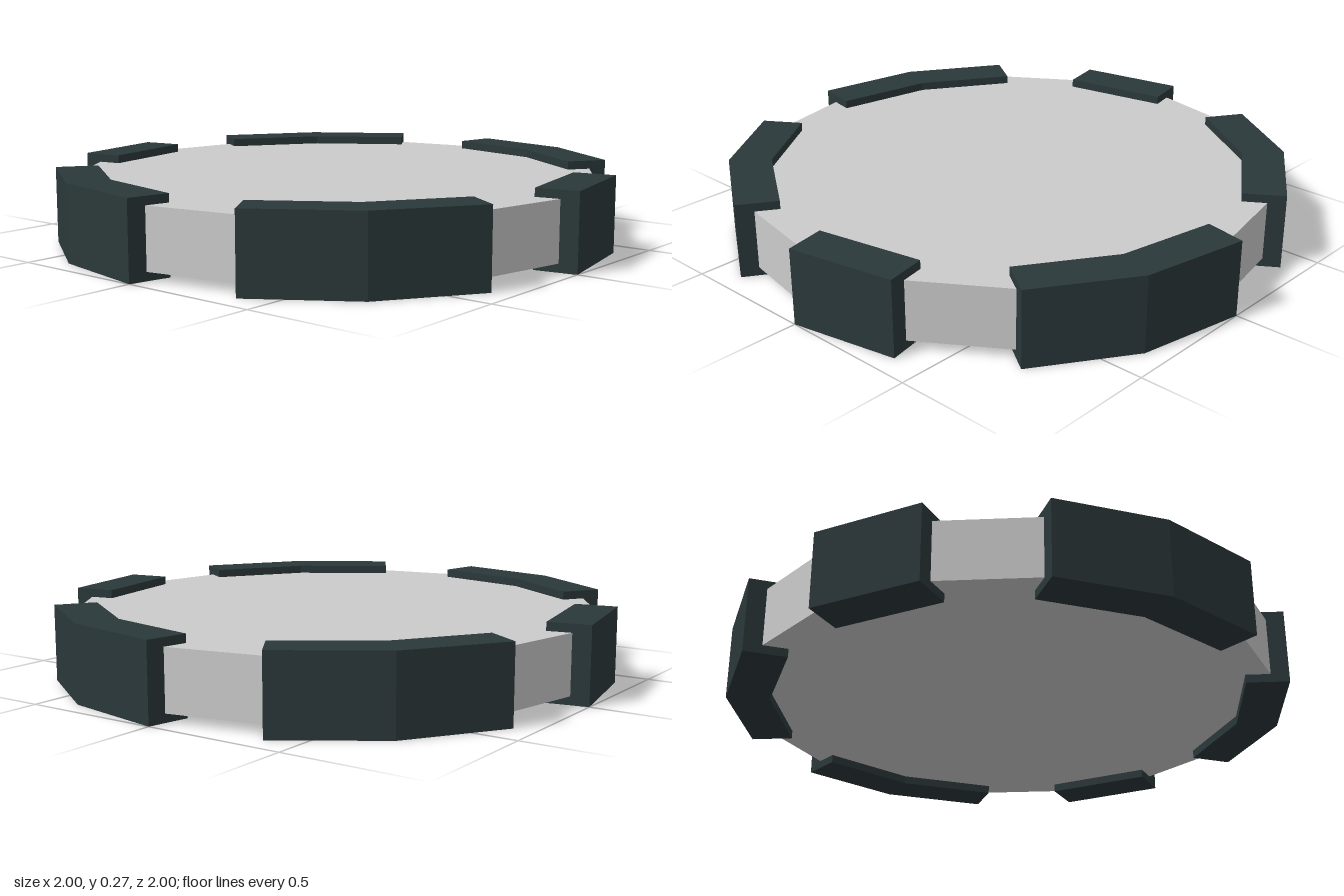
import * as THREE from 'three';

const SIDES = 16, STEP = (Math.PI * 2) / SIDES;
const OUTER = 1, THICK = 0.15, HEIGHT = 0.27;

const onCircle = (i, r) => new THREE.Vector2(Math.cos(i * STEP) * r, Math.sin(i * STEP) * r);

// Inner corner at a square-cut end: step inward, perpendicular to the facet
function endCorner(corner, facet) {
  const a = (facet + 0.5) * STEP;
  return corner.clone().sub(new THREE.Vector2(Math.cos(a), Math.sin(a)).multiplyScalar(THICK));
}

// Rim block spanning `count` facets, mitred inside and cut square at both ends
function rimBlock(start, count) {
  const innerR = OUTER - THICK / Math.cos(STEP / 2);
  const end = start + count;
  const points = [];
  for (let i = start; i <= end; i++) points.push(onCircle(i, OUTER));
  points.push(endCorner(onCircle(end, OUTER), end - 1));
  for (let i = end - 1; i > start; i--) points.push(onCircle(i, innerR));
  points.push(endCorner(onCircle(start, OUTER), start));
  const geo = new THREE.ExtrudeGeometry(new THREE.Shape(points), { depth: HEIGHT, bevelEnabled: false });
  return geo.rotateX(Math.PI / 2).translate(0, HEIGHT, 0);
}

export function createModel() {
  const group = new THREE.Group();
  group.name = 'rimmedDisc';
  const grey = new THREE.MeshStandardMaterial({ color: 0xcccccc, flatShading: true });
  const dark = new THREE.MeshStandardMaterial({ color: 0x2b383a, flatShading: true });

  // Flat sixteen-sided disc
  const disc = new THREE.Mesh(new THREE.CylinderGeometry(0.94, 0.94, 0.21, SIDES), grey);
  disc.name = 'disc';
  disc.position.y = HEIGHT / 2;
  group.add(disc);

  // Rim blocks: first facet and number of facets
  const rim = new THREE.Group();
  rim.name = 'rim';
  for (const [start, count] of [[0, 2], [3, 1], [5, 2], [8, 2], [11, 1], [13, 2]]) {
    const block = new THREE.Mesh(rimBlock(start, count), dark);
    block.name = count === 2 ? 'longRimBlock' : 'shortRimBlock';
    rim.add(block);
  }
  group.add(rim);
  return group;
}
